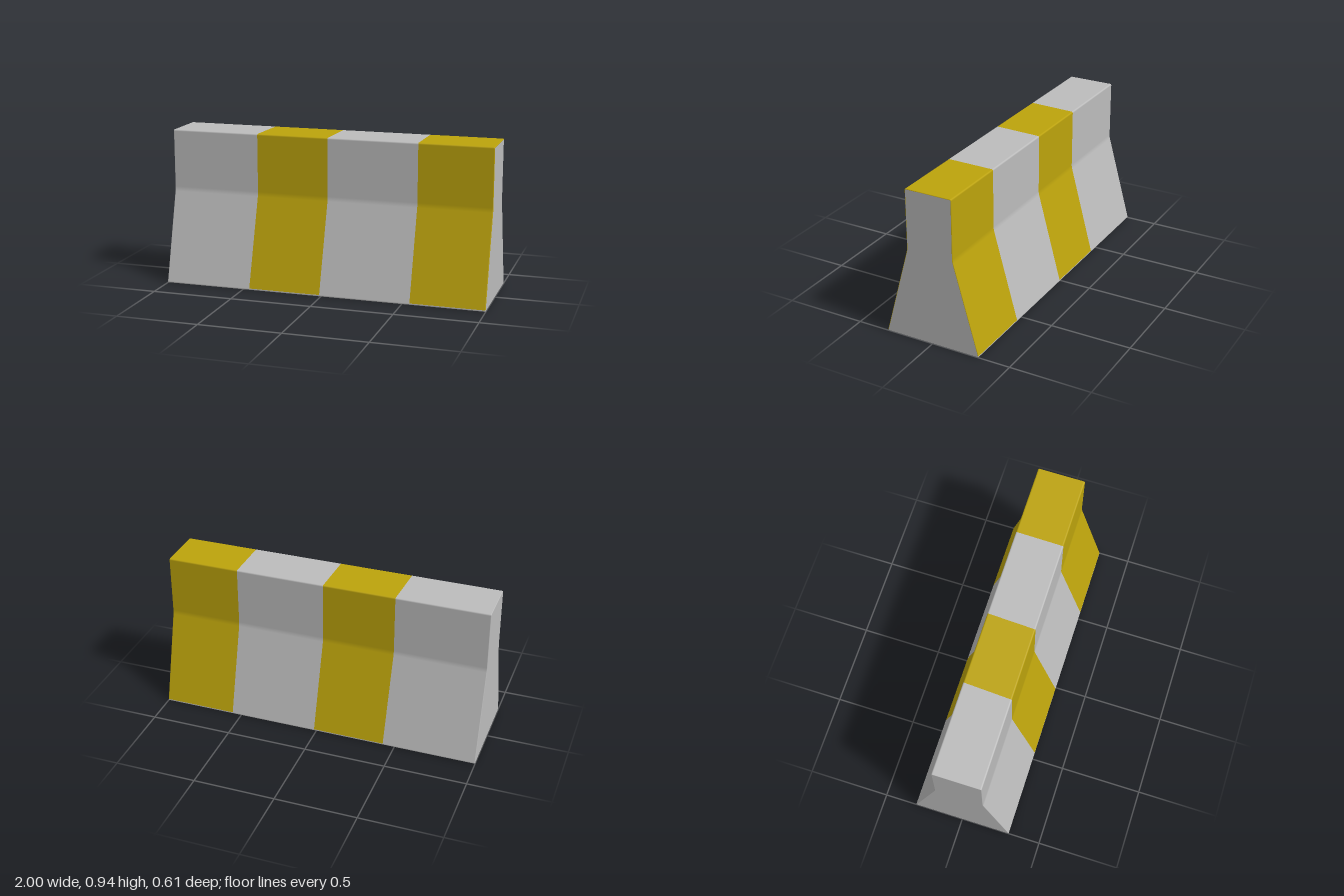
import * as THREE from 'three';

const BEVEL = 0.004;

// Half-width / height outline in (z, y), each corner softened by its own trim length
const CORNERS = [
  [-0.305, 0, 0.01], [0.305, 0, 0.01], [0.148, 0.567, 0.015],
  [0.148, 0.94, 0.01], [-0.148, 0.94, 0.01], [-0.148, 0.567, 0.015],
];

// Rounded outline points with their outward normals
function makeOutline() {
  const pts = CORNERS.map(([z, y]) => new THREE.Vector2(z, y));
  const count = pts.length;
  const outline = [];
  CORNERS.forEach(([, , trim], i) => {
    const p = pts[i];
    const toPrev = pts[(i + count - 1) % count].clone().sub(p).setLength(trim);
    const toNext = pts[(i + 1) % count].clone().sub(p).setLength(trim);
    const curve = new THREE.QuadraticBezierCurve(p.clone().add(toPrev), p, p.clone().add(toNext));
    for (let k = 0; k <= 4; k++) {
      const t = curve.getTangent(k / 4);
      const q = curve.getPoint(k / 4);
      outline.push({ z: q.x, y: q.y, nz: t.y, ny: -t.x });
    }
  });
  return outline;
}

// Skin between stations along x, using only the outline edges that pass the filter
function loft(outline, stations, keepEdge) {
  const position = [], normal = [];
  const put = (s, p) => {
    const z = p.z - p.nz * s.inset;
    const flat = Math.sqrt(1 - s.nx * s.nx);
    position.push(s.x + s.skew * z, p.y - p.ny * s.inset, z);
    normal.push(s.nx, p.ny * flat, p.nz * flat);
  };
  for (let j = 0; j < stations.length - 1; j++) {
    const a = stations[j], b = stations[j + 1];
    outline.forEach((p, i) => {
      const q = outline[(i + 1) % outline.length];
      if (!keepEdge(p, q)) return;
      [[a, p], [b, p], [b, q], [a, p], [b, q], [a, q]].forEach(([s, v]) => put(s, v));
    });
  }
  const geometry = new THREE.BufferGeometry();
  geometry.setAttribute('position', new THREE.Float32BufferAttribute(position, 3));
  geometry.setAttribute('normal', new THREE.Float32BufferAttribute(normal, 3));
  return geometry;
}

// Flat end face: a tapered base below a straight upper wall, fanned strip by strip
function endFace(outline, side) {
  const inner = outline.map((p) => [p.z - p.nz * BEVEL, p.y - p.ny * BEVEL]);
  const half = inner.length / 2;
  // Pair each front point with its mirror image on the back, from base to top
  const front = inner.slice(5, 5 + half);
  const position = [];
  for (let i = 0; i < front.length - 1; i++) {
    const [z0, y0] = front[i], [z1, y1] = front[i + 1];
    const quad = [[-z0, y0], [-z1, y1], [z1, y1], [-z0, y0], [z1, y1], [z0, y0]];
    if (side < 0) quad.reverse();
    quad.forEach(([z, y]) => position.push(side, y, z));
  }
  const geometry = new THREE.BufferGeometry();
  geometry.setAttribute('position', new THREE.Float32BufferAttribute(position, 3));
  geometry.computeVertexNormals();
  return geometry;
}

// Stations that round the skin over into an end face
function endStations(side) {
  const list = [0, 1, 2, 3].map((k) => {
    const angle = (k / 3) * Math.PI / 2;
    return {
      x: side * (1 - BEVEL * (1 - Math.sin(angle))), skew: 0,
      inset: BEVEL * (1 - Math.cos(angle)), nx: side * Math.sin(angle),
    };
  });
  return side < 0 ? list.reverse() : list;
}

export function createModel() {
  const concrete = new THREE.MeshStandardMaterial({ color: 0xbcbcbc });
  concrete.name = 'concrete grey';
  const paint = new THREE.MeshStandardMaterial({ color: 0xbca30c });
  paint.name = 'stripe yellow';

  const group = new THREE.Group();
  group.name = 'roadBarrier';
  const add = (name, geometry, material) => {
    const mesh = new THREE.Mesh(geometry, material);
    mesh.name = name;
    group.add(mesh);
  };

  const outline = makeOutline();
  const isUnder = (p, q) => p.y < 0.011 && q.y < 0.011;
  const isSkin = (p, q) => !isUnder(p, q);

  // Painted bands, with slightly slanted borders
  const border = (x, skew) => [{ x, skew, inset: 0, nx: 0 }];
  const borders = [
    endStations(-1), border(-0.443, -0.05), border(0.002, -0.04), border(0.552, -0.015), endStations(1),
  ];
  for (let i = 0; i < 4; i++) {
    const yellow = i % 2 === 1;
    add(yellow ? 'yellowBand' : 'greyBand', loft(outline, [...borders[i], ...borders[i + 1]], isSkin),
      yellow ? paint : concrete);
  }

  // Underside, full length
  add('underside', loft(outline, [...endStations(-1), ...endStations(1)], isUnder), concrete);

  // Flat end faces
  add('rightEnd', endFace(outline, -1), concrete);
  add('leftEnd', endFace(outline, 1), concrete);

  return group;
}
